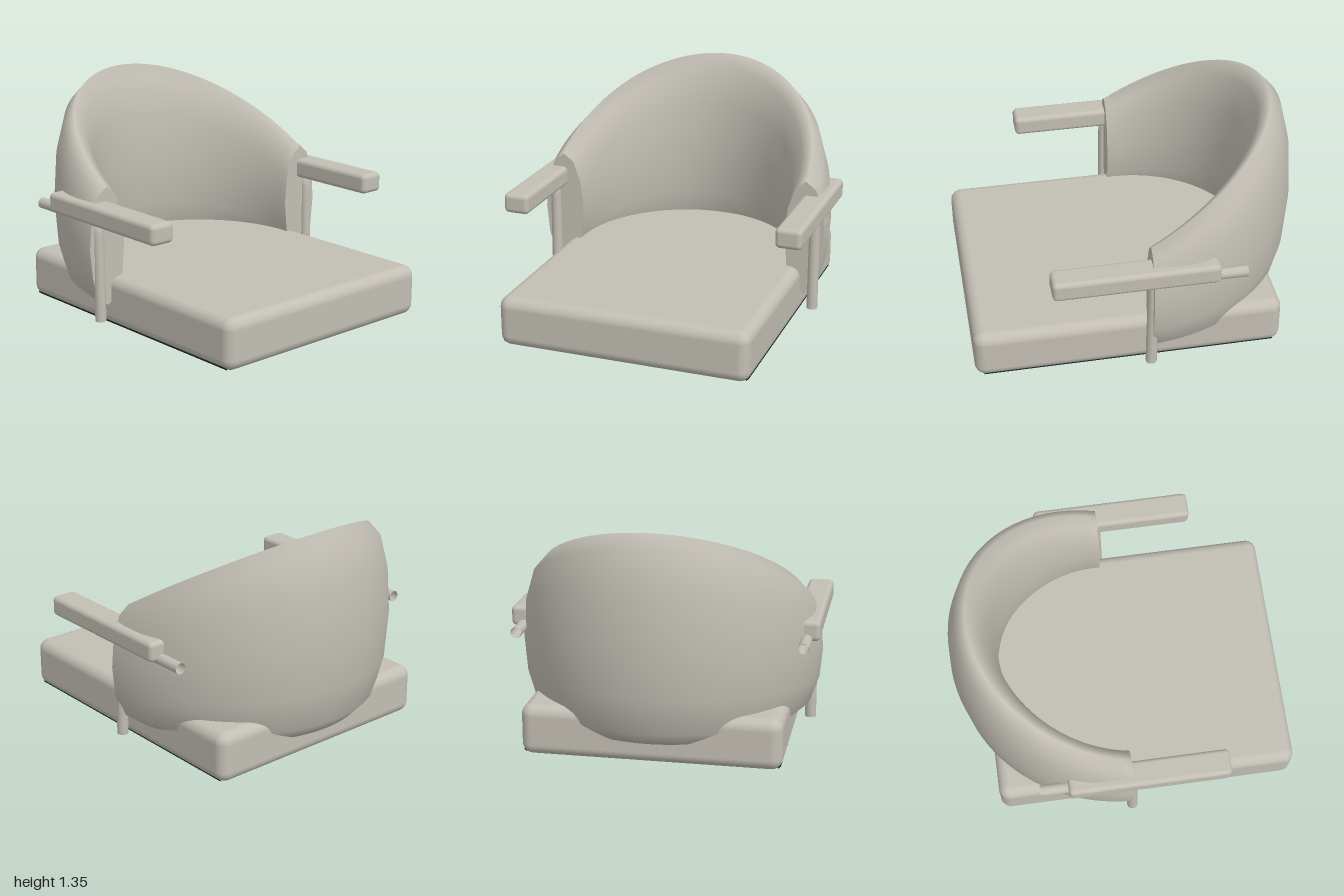
import * as THREE from 'three';
import { RoundedBoxGeometry } from 'three/addons/geometries/RoundedBoxGeometry.js';

// Half-ring backrest: an elliptical section swept round the seat, taller towards the back
function backrestGeometry() {
  const arcs = 48, sides = 12, bottom = 0.135;
  const pos = [], index = [];
  for (let i = 0; i <= arcs; i++) {
    const a = (i / arcs) * Math.PI;
    const top = 0.845 + 0.5 * Math.sin(a);
    for (let j = 0; j < sides; j++) {
      const p = (j / sides) * Math.PI * 2, c = Math.cos(p);
      pos.push(
        (0.773 + 0.124 * c) * Math.cos(a),
        (top + bottom) / 2 + ((top - bottom) / 2) * Math.sin(p),
        -0.02 - (0.835 + 0.143 * c) * Math.sin(a)
      );
      if (i < arcs) {
        const k = (j + 1) % sides;
        const q = i * sides + j, r = i * sides + k;
        index.push(q, q + sides, r, r, q + sides, r + sides);
      }
    }
  }
  const g = new THREE.BufferGeometry();
  g.setAttribute('position', new THREE.Float32BufferAttribute(pos, 3));
  g.setIndex(index);
  g.computeVertexNormals();
  return g;
}

export function createModel() {
  const model = new THREE.Group();
  const fabric = new THREE.MeshStandardMaterial({ color: 0xc2beb4 });
  fabric.name = 'warm grey';
  const tubing = new THREE.MeshStandardMaterial({ color: 0xc2beb4, side: THREE.DoubleSide });
  tubing.name = 'warm grey tubing';
  const dark = new THREE.MeshStandardMaterial({ color: 0x1a2424 });
  dark.name = 'dark trim';

  const add = (name, geometry, material, x = 0, y = 0, z = 0) => {
    const mesh = new THREE.Mesh(geometry, material);
    mesh.name = name;
    mesh.position.set(x, y, z);
    model.add(mesh);
    return mesh;
  };

  add('seatCushion', new RoundedBoxGeometry(1.5, 0.3, 1.82, 5, 0.065), fabric, 0, 0.15, 0.09);
  add('backrest', backrestGeometry(), fabric);

  for (const [side, s] of [['left', 1], ['right', -1]]) {
    // Flat end of the backrest
    add(side + 'BackrestEnd', new THREE.CircleGeometry(1, 12).scale(0.124, 0.355, 1), fabric, s * 0.773, 0.49, -0.02);

    add(side + 'Armrest', new RoundedBoxGeometry(0.155, 0.12, 0.955, 4, 0.028), fabric, s * 0.83, 0.7, 0.078);

    // Open bent tube: upright leg turning back beneath the armrest
    const x = s * 0.832;
    const path = new THREE.CurvePath();
    const v = (y, z) => new THREE.Vector3(x, y, z);
    path.add(new THREE.LineCurve3(v(0.055, -0.016), v(0.57, -0.025)));
    path.add(new THREE.QuadraticBezierCurve3(v(0.57, -0.025), v(0.65, -0.026), v(0.65, -0.11)));
    path.add(new THREE.LineCurve3(v(0.65, -0.11), v(0.65, -0.565)));
    add(side + 'SupportTube', new THREE.TubeGeometry(path, 40, 0.033, 14, false), tubing);

    // Thin trim along the lower edge of the cushion
    const trim = add(side + 'LowerTrim', new THREE.BoxGeometry(0.006, 0.02, 1.72), dark, s * 0.731, 0.016, 0.09);
    trim.rotation.z = -s * 0.85;
  }
  return model;
}
